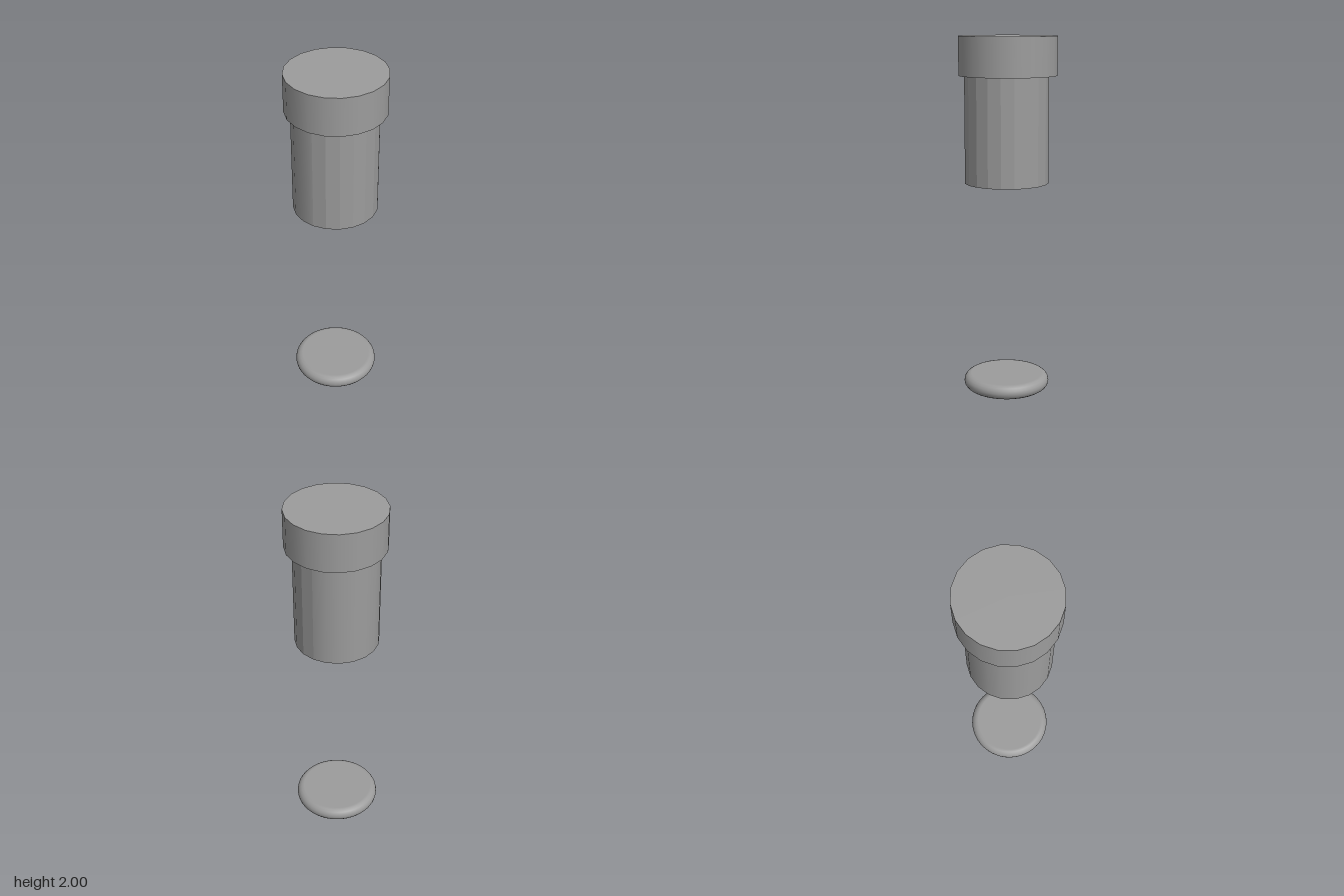
import * as THREE from 'three';

const SIDES = 20;
const TUBE_BOTTOM = 1.197;
const CAP_BOTTOM = 1.787;

export function createModel() {
  const model = new THREE.Group();
  const paint = (options) => new THREE.MeshStandardMaterial({ color: 0x9c9c9c, ...options });
  const smooth = paint({});

  function add(parent, name, geometry, material, y, z = 0) {
    const mesh = new THREE.Mesh(geometry, material);
    mesh.name = name;
    mesh.position.set(0, y, z);
    parent.add(mesh);
  }

  // Wide solid cap
  const capHeight = 2 - CAP_BOTTOM;
  add(model, 'cap', new THREE.CylinderGeometry(0.271, 0.271, capHeight, SIDES), smooth, 2 - capHeight / 2);

  // Hollow tube below the cap, open at the bottom: left half faceted, right half smooth
  const tube = new THREE.Group();
  tube.name = 'tube';
  tube.position.z = 0.008;
  model.add(tube);
  const tubeHeight = CAP_BOTTOM - TUBE_BOTTOM;
  const tubeMiddle = TUBE_BOTTOM + tubeHeight / 2;
  const halfWall = (radius, start) =>
    new THREE.CylinderGeometry(radius, radius, tubeHeight, SIDES / 2, 1, true, start, Math.PI);
  [['left', 0, true], ['right', Math.PI, false]].forEach(([side, start, flatShading]) => {
    add(tube, side + 'OuterWall', halfWall(0.233, start), paint({ flatShading }), tubeMiddle);
    add(tube, side + 'InnerWall', halfWall(0.2, start), paint({ flatShading, side: THREE.BackSide }), tubeMiddle);
  });
  const lip = new THREE.RingGeometry(0.2, 0.233, SIDES).rotateX(Math.PI / 2);
  add(tube, 'tubeLip', lip, smooth, TUBE_BOTTOM);

  // Rounded rim of the separate base
  const rim = new THREE.TorusGeometry(0.202, 0.041, 16, 48).rotateX(Math.PI / 2);
  add(model, 'baseRim', rim, smooth, 0.041, 0.009);

  // Disc filling the rim: flush on top, recessed underneath
  const disc = new THREE.CylinderGeometry(0.202, 0.202, 0.057, 48).rotateY(Math.PI / 2);
  add(model, 'baseDisc', disc, smooth, 0.0535, 0.009);

  return model;
}
